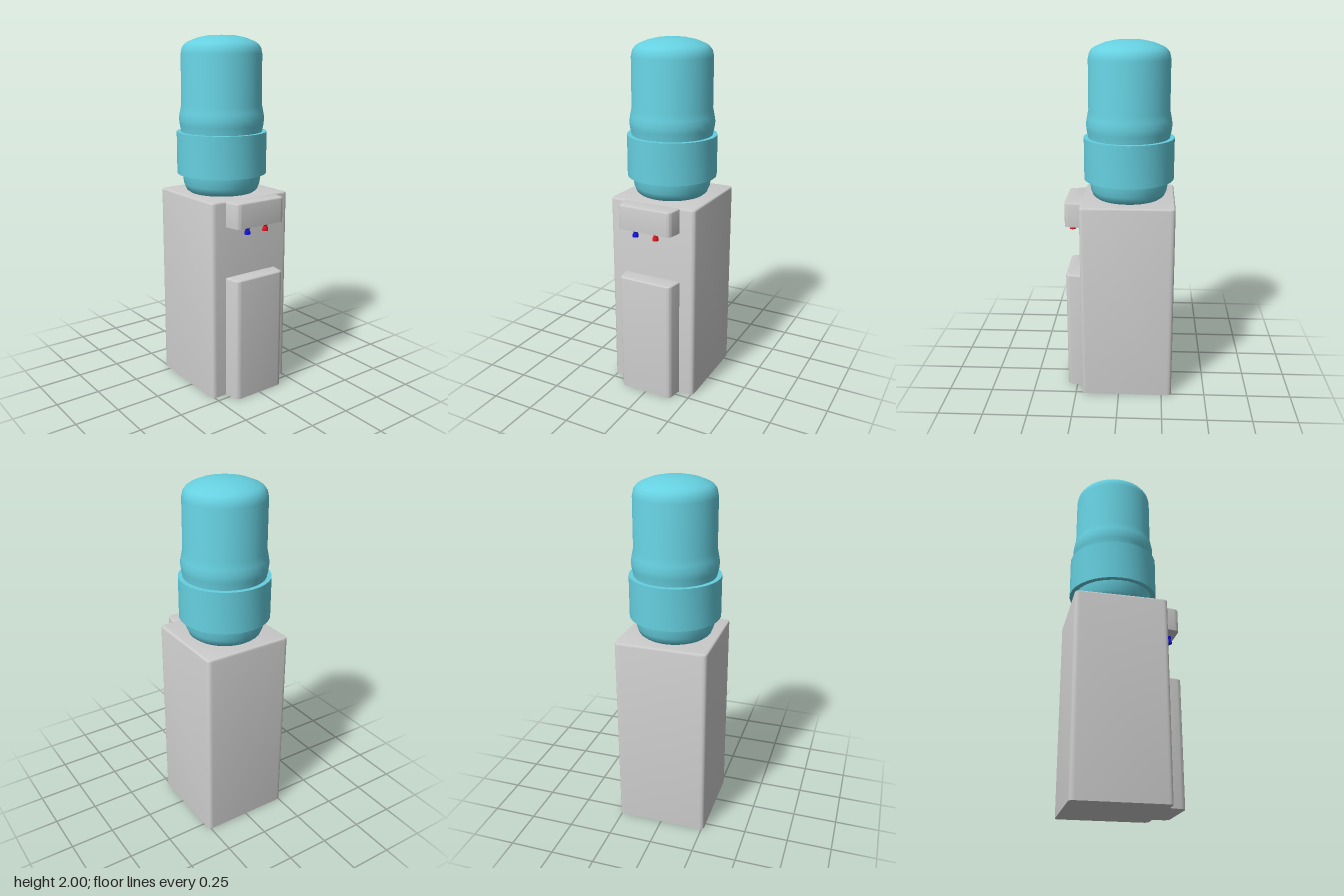
import * as THREE from 'three';
import { toCreasedNormals } from 'three/addons/utils/BufferGeometryUtils.js';

const material = (color) => new THREE.MeshStandardMaterial({ color });

// Closed outline of [x, z] corners, each softened by radius r
function roundedOutline(corners, r) {
  const pts = corners.map(([x, z]) => new THREE.Vector2(x, -z));
  const shape = new THREE.Shape();
  pts.forEach((p, i) => {
    const prev = pts[(i + pts.length - 1) % pts.length];
    const next = pts[(i + 1) % pts.length];
    const a = p.clone().add(prev.clone().sub(p).setLength(r));
    const b = p.clone().add(next.clone().sub(p).setLength(r));
    if (i === 0) shape.moveTo(a.x, a.y);
    else shape.lineTo(a.x, a.y);
    shape.quadraticCurveTo(p.x, p.y, b.x, b.y);
  });
  shape.closePath();
  return shape;
}

// Upright prism from y0 to y1 with a softened top edge and a flat base
function prism(name, corners, r, y0, y1, bevel, mat) {
  const geo = new THREE.ExtrudeGeometry(roundedOutline(corners, r), {
    depth: y1 - y0 - bevel, curveSegments: 5, bevelEnabled: true,
    bevelThickness: bevel, bevelSize: bevel, bevelOffset: -bevel, bevelSegments: 3,
  });
  geo.rotateX(-Math.PI / 2);
  // Flatten the lower bevel into the base
  const pos = geo.attributes.position;
  for (let i = 0; i < pos.count; i++) pos.setY(i, Math.max(0, pos.getY(i)));
  geo.translate(0, y0, 0);
  const mesh = new THREE.Mesh(toCreasedNormals(geo, 0.7), mat);
  mesh.name = name;
  return mesh;
}

// Turned part from [radius, y] points
function turned(name, profile, segments, mat, crease = 0.9) {
  const geo = new THREE.LatheGeometry(profile.map(([r, y]) => new THREE.Vector2(r, y)), segments);
  const mesh = new THREE.Mesh(toCreasedNormals(geo, crease), mat);
  mesh.name = name;
  return mesh;
}

export function createModel() {
  const group = new THREE.Group();
  group.name = 'waterDispenser';
  const grey = material(0xcccccc);
  const aqua = material(0x66d0e0);

  // Main cabinet
  const cabinet = [[-0.262, 0.215], [0.262, 0.215], [0.262, -0.308], [-0.262, -0.308]];
  group.add(prism('cabinet', cabinet, 0.028, 0, 1.135, 0.01, grey));

  // Tapered lower panel and tap head, both set into the cabinet front
  const front = [[-0.158, 0.306], [0.158, 0.306], [0.177, 0.19], [-0.177, 0.19]];
  group.add(prism('frontPanel', front, 0.025, 0, 0.705, 0.008, grey));
  group.add(prism('tapHead', front, 0.025, 0.995, 1.134, 0.008, grey));

  // Cold and hot taps
  const tap = [[0, 0.952], [0.017, 0.952], [0.016, 0.966], [0.01, 0.98], [0.014, 0.986], [0.014, 1.0], [0, 1.0]];
  [['coldTap', -0.07, 0x1414e0], ['hotTap', 0.055, 0xe01420]].forEach(([name, x, color]) => {
    const mesh = turned(name, tap, 12, material(color), 0.6);
    mesh.position.set(x, 0, 0.271);
    group.add(mesh);
  });

  // Upturned water bottle with its wide collar
  const bottle = new THREE.Group();
  bottle.name = 'bottle';
  bottle.position.set(-0.009, 0, -0.048);
  bottle.add(turned('bottleBody', [
    [0, 1.134], [0.185, 1.134], [0.203, 1.148], [0.216, 1.18], [0.225, 1.24],
    [0.228, 1.475], [0.236, 1.515], [0.24, 1.55], [0.234, 1.585], [0.226, 1.625],
    [0.225, 1.9], [0.218, 1.933], [0.203, 1.953], [0.185, 1.965],
    [0.135, 1.985], [0.08, 1.997], [0, 2.0],
  ], 32, aqua));
  bottle.add(turned('bottleCollar', [
    [0.215, 1.24], [0.254, 1.24], [0.254, 1.475], [0.22, 1.475],
  ], 32, aqua));
  group.add(bottle);

  return group;
}
